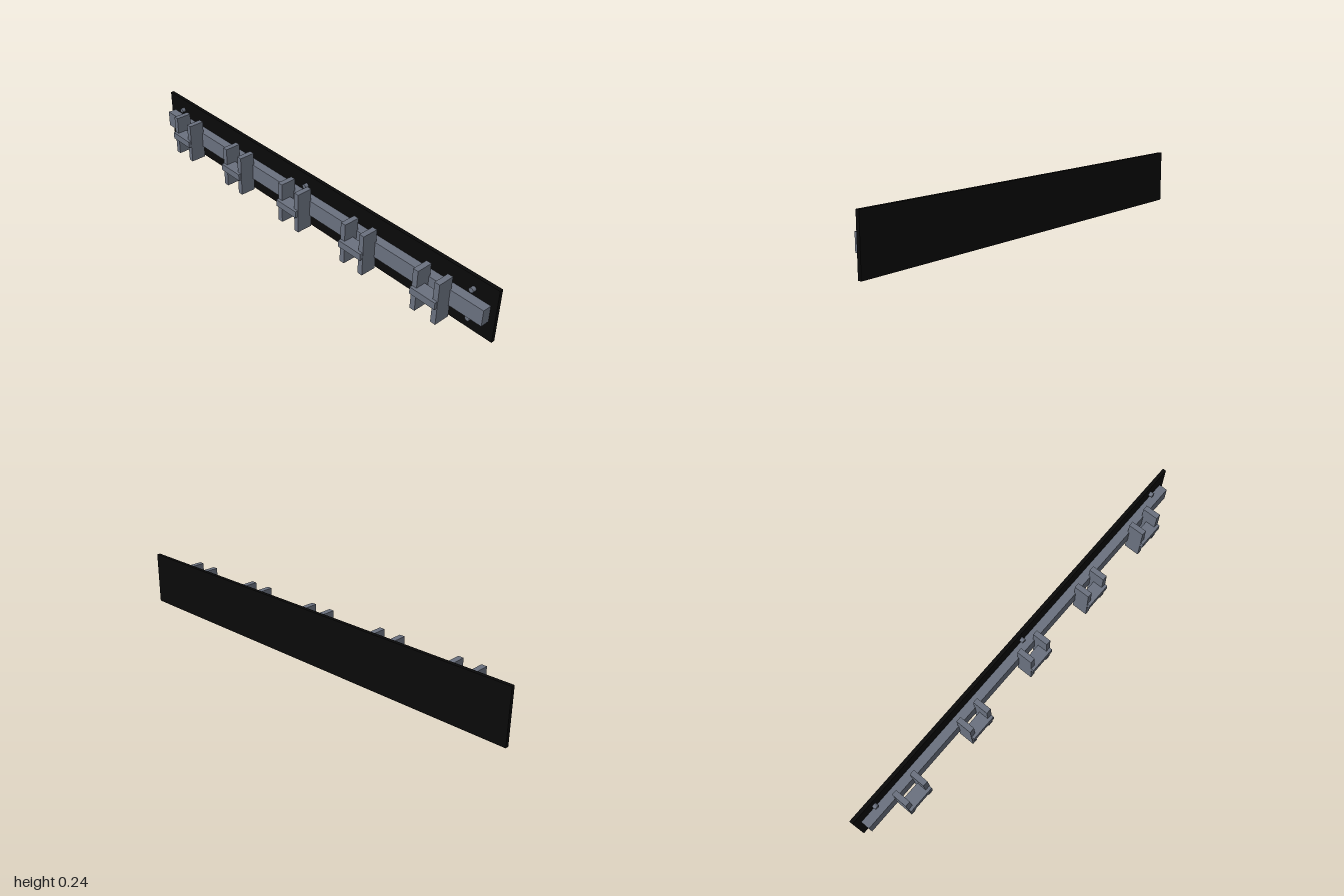
import * as THREE from 'three';

export function createModel() {
  const group = new THREE.Group();
  const black = new THREE.MeshStandardMaterial({ color: 0x0a0a0a });
  black.name = 'black';
  const grey = new THREE.MeshStandardMaterial({ color: 0x6b7280 });
  grey.name = 'steelGrey';

  // Box given by its low and high corners
  function box(name, parent, material, x0, x1, y0, y1, z0, z1) {
    const mesh = new THREE.Mesh(new THREE.BoxGeometry(x1 - x0, y1 - y0, z1 - z0), material);
    mesh.position.set((x0 + x1) / 2, (y0 + y1) / 2, (z0 + z1) / 2);
    mesh.name = name;
    parent.add(mesh);
  }

  // Back plate and the rail along its middle
  box('backPlate', group, black, -1, 1, 0, 0.241, -0.067, -0.051);
  box('rail', group, grey, -0.973, 0.973, 0.084, 0.157, -0.051, -0.011);

  // Five H-shaped brackets: two upright cheeks joined by a bridge
  for (let i = -2; i <= 2; i++) {
    const bracket = new THREE.Group();
    bracket.name = 'bracket';
    bracket.position.x = i * 0.379;
    for (const s of [-1, 1]) {
      const c = s * 0.051;
      box('cheek', bracket, grey, c - 0.012, c + 0.012, 0.027, 0.214, -0.018, 0.054);
    }
    box('bridge', bracket, grey, -0.061, 0.061, 0.105, 0.136, 0.009, 0.067);
    group.add(bracket);
  }

  // Bolt heads above and below the rail
  const boltGeometry = new THREE.CylinderGeometry(0.0107, 0.0107, 0.017, 12);
  boltGeometry.rotateX(Math.PI / 2);
  for (const x of [-0.893, 0, 0.893]) {
    for (const y of [0.054, 0.187]) {
      const bolt = new THREE.Mesh(boltGeometry, grey);
      bolt.name = 'bolt';
      bolt.position.set(x, y, -0.0425);
      group.add(bolt);
    }
  }

  return group;
}
